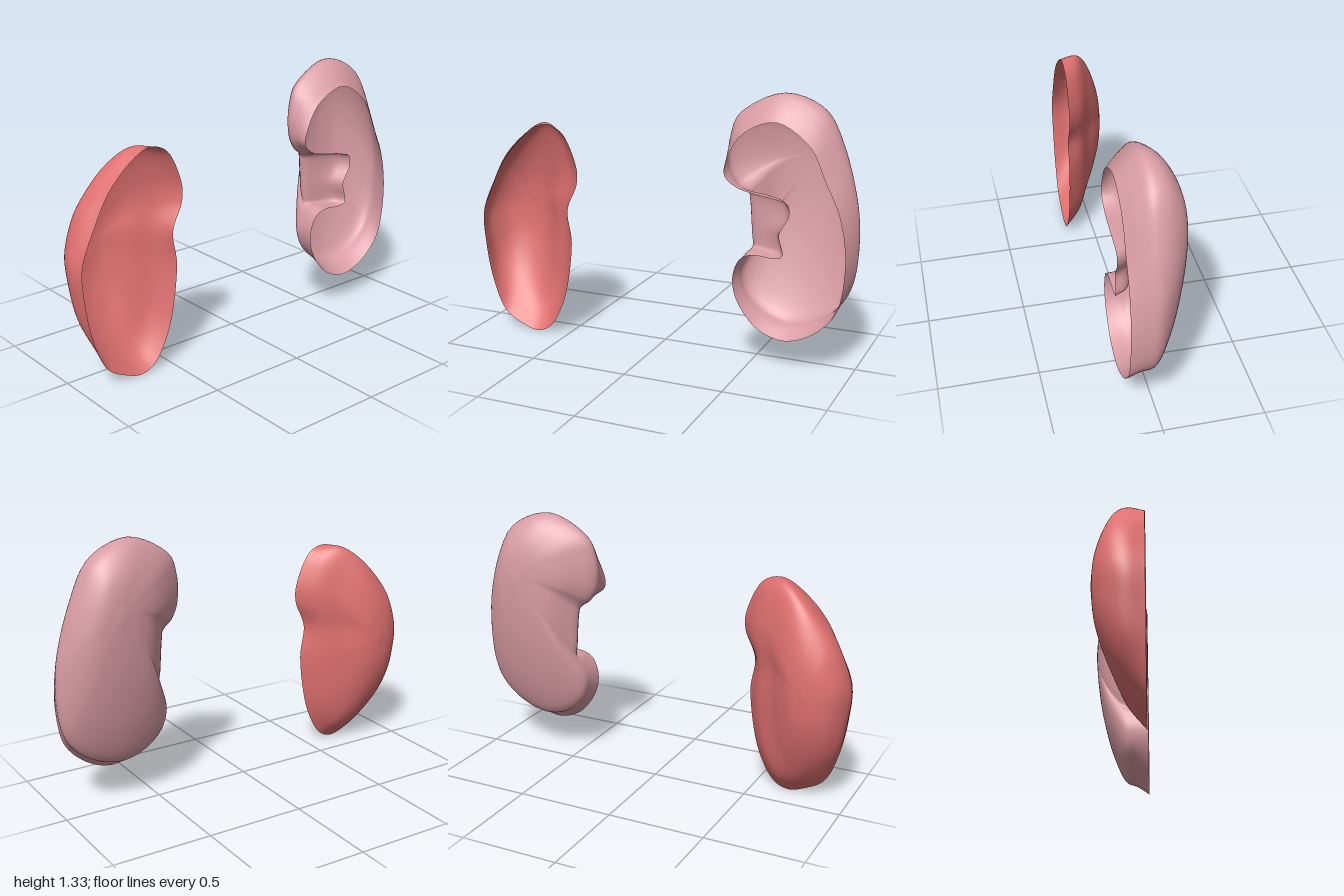
import * as THREE from 'three';

const AROUND = 120, DEEP = 28;

// Remap an outline into a box [x0, x1, y0, y1], easing it towards an ellipse by amount e
function fit(outline, [x0, x1, y0, y1], e) {
  const b = new THREE.Box2().setFromPoints(outline.map(p => new THREE.Vector2(...p)));
  const cx = (x0 + x1) / 2, cy = (y0 + y1) / 2, rx = (x1 - x0) / 2, ry = (y1 - y0) / 2;
  return outline.map(([x, y]) => {
    const u = (x - b.min.x) / (b.max.x - b.min.x) * 2 - 1;
    const v = (y - b.min.y) / (b.max.y - b.min.y) * 2 - 1;
    const k = 1 - e + e / Math.max(Math.hypot(u, v), 0.3);
    return [cx + rx * u * k, cy + ry * v * k];
  });
}

// Open shell through contours stacked along z, closed at the back by a pole
function shell(name, levels, pole, material) {
  const rings = levels.map(({ z, pts }) => {
    const c = new THREE.CatmullRomCurve3(pts.map(([x, y]) => new THREE.Vector3(x, y, z)), true, 'catmullrom', 0.5);
    return Array.from({ length: AROUND }, (_, i) => c.getPoint(i / AROUND));
  });
  const pos = [], index = [];
  const columns = rings[0].map((_, i) =>
    new THREE.CatmullRomCurve3([...rings.map(r => r[i]), new THREE.Vector3(...pole)], false, 'centripetal'));
  for (let j = 0; j < DEEP; j++)
    for (const c of columns) pos.push(...c.getPoint(j / DEEP).toArray());
  pos.push(...pole);
  const id = (j, i) => j === DEEP ? DEEP * AROUND : j * AROUND + i % AROUND;
  for (let j = 0; j < DEEP; j++)
    for (let i = 0; i < AROUND; i++) {
      index.push(id(j, i), id(j, i + 1), id(j + 1, i));
      if (j < DEEP - 1) index.push(id(j, i + 1), id(j + 1, i + 1), id(j + 1, i));
    }
  const geo = new THREE.BufferGeometry();
  geo.setAttribute('position', new THREE.Float32BufferAttribute(pos, 3));
  geo.setIndex(index);
  geo.computeVertexNormals();
  const mesh = new THREE.Mesh(geo, material);
  mesh.name = name;
  return mesh;
}

export function createModel() {
  const group = new THREE.Group();
  group.name = 'kidneyHalves';
  const pink = new THREE.MeshStandardMaterial({ color: 0xd99ca4, side: THREE.DoubleSide });
  pink.name = 'pink';
  const red = new THREE.MeshStandardMaterial({ color: 0xdf7070, side: THREE.DoubleSide });
  red.name = 'red';

  // Left kidney: cut rim with a deep notch, and the wider contour behind it
  const rim = [
    [.62, 1.21], [.78, 1.11], [.86, .95], [.93, .80], [.965, .61], [.955, .42], [.915, .30],
    [.81, .20], [.675, .155], [.54, .20], [.445, .315], [.415, .43], [.445, .53], [.515, .565],
    [.625, .56], [.665, .585], [.645, .68], [.69, .77], [.68, .83], [.61, .85], [.515, .865],
    [.425, .89], [.365, .945], [.385, 1.04], [.46, 1.15]];
  const belly = [
    [.61, 1.33], [.81, 1.255], [.915, 1.06], [.985, .82], [1, .62], [.98, .45], [.92, .34],
    [.81, .26], [.675, .225], [.55, .26], [.46, .34], [.43, .44], [.45, .53], [.475, .575],
    [.475, .60], [.47, .63], [.465, .70], [.46, .77], [.455, .81], [.45, .84], [.43, .865],
    [.39, .90], [.357, .98], [.357, 1.11], [.41, 1.235]];
  // The notch wall runs nearly straight back before it flares out
  const between = rim.map(([x, y], i) => {
    const t = x - belly[i][0] > .1 ? .2 : .65;
    return [x + (belly[i][0] - x) * t, y + (belly[i][1] - y) * t];
  });
  group.add(shell('leftKidney', [
    { z: .15, pts: rim },
    { z: .085, pts: between },
    { z: .03, pts: belly },
    { z: -.04, pts: fit(belly, [.43, .96, .37, 1.31], .2) },
    { z: -.10, pts: fit(belly, [.53, .89, .60, 1.23], .5) },
    { z: -.13, pts: fit(belly, [.63, .83, .80, 1.14], .8) },
  ], [.74, 1.0, -.145], pink));

  // Right kidney: smoother bean, tapering towards its lower tip
  const redRim = [
    [-.605, 1.115], [-.5, 1.075], [-.43, .93], [-.425, .82], [-.48, .68], [-.46, .50], [-.5, .235],
    [-.58, .06], [-.67, .005], [-.77, .03], [-.875, .10], [-.94, .26], [-.975, .45], [-.98, .63],
    [-.91, .80], [-.83, .945], [-.715, 1.06]];
  const redBelly = [
    [-.64, 1.11], [-.56, 1.05], [-.505, .92], [-.50, .81], [-.53, .68], [-.53, .50], [-.56, .27],
    [-.62, .14], [-.69, .10], [-.78, .12], [-.88, .19], [-.95, .30], [-.985, .45], [-1, .625],
    [-.945, .80], [-.87, .92], [-.74, 1.06]];
  group.add(shell('rightKidney', [
    { z: .15, pts: redRim },
    { z: .07, pts: redBelly },
    { z: .01, pts: fit(redBelly, [-.985, -.60, .21, 1.04], .1) },
    { z: -.04, pts: fit(redBelly, [-.95, -.67, .33, .92], .3) },
    { z: -.075, pts: fit(redBelly, [-.89, -.735, .46, .78], .6) },
  ], [-.81, .62, -.09], red));

  return group;
}
